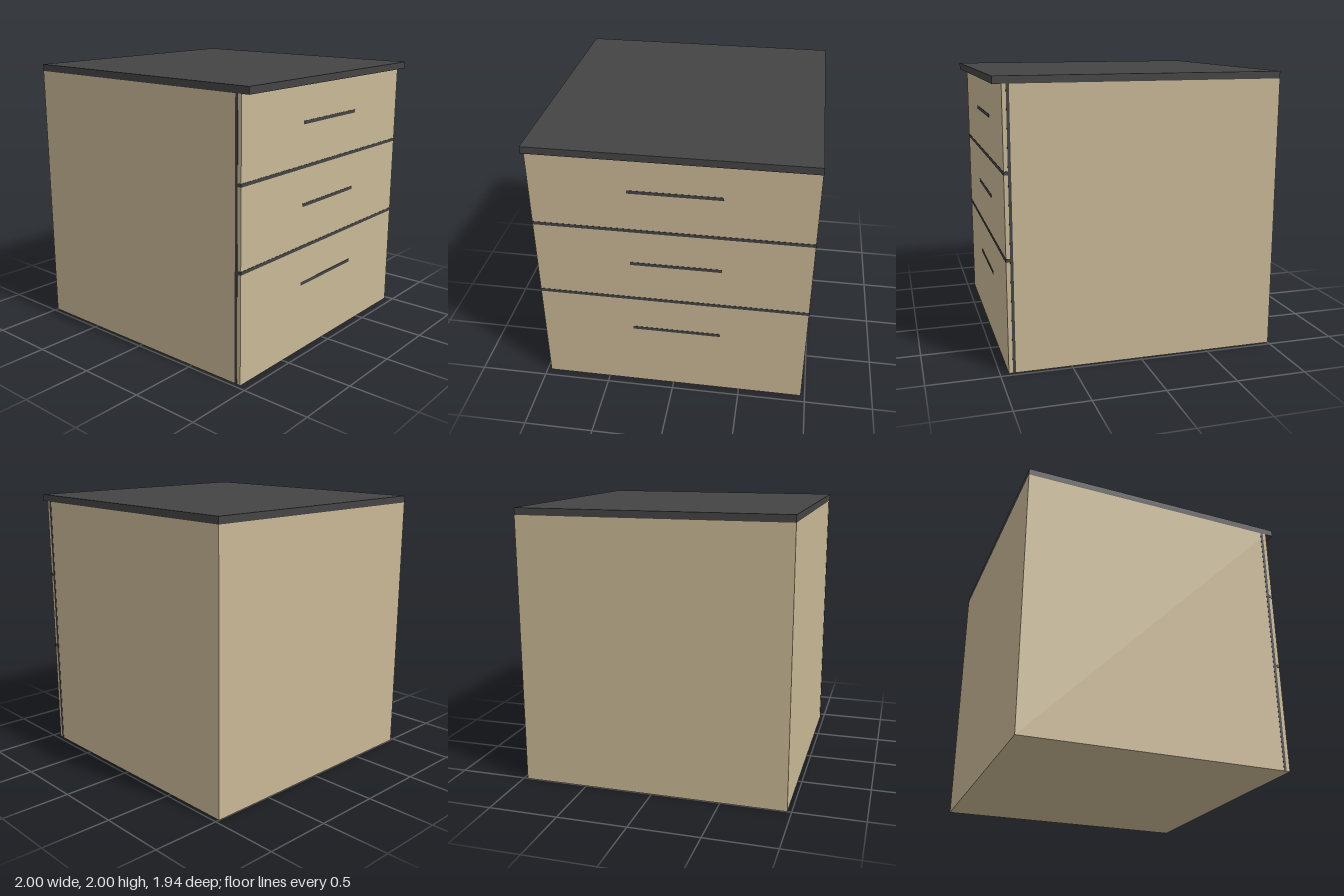
import * as THREE from 'three';

export function createModel() {
  const group = new THREE.Group();
  const wood = new THREE.MeshStandardMaterial({ color: 0xc9b895 });
  wood.name = 'light wood';
  const dark = new THREE.MeshStandardMaterial({ color: 0x444444 });
  dark.name = 'dark grey';

  // Box given by its minimum and maximum corners
  const addBox = (name, material, [x0, y0, z0], [x1, y1, z1]) => {
    const mesh = new THREE.Mesh(new THREE.BoxGeometry(x1 - x0, y1 - y0, z1 - z0), material);
    mesh.position.set((x0 + x1) / 2, (y0 + y1) / 2, (z0 + z1) / 2);
    mesh.name = name;
    group.add(mesh);
  };

  const depth = 0.97, face = 0.94, proud = 0.002;

  // Cabinet and worktop overhanging the drawer side
  addBox('cabinetBody', wood, [-1, 0, -depth], [face, 1.95, depth]);
  addBox('worktop', dark, [-1, 1.95, -depth], [1, 2, depth]);

  // Joint between carcass and drawer fronts, on the front and back panels
  for (const side of [-1, 1]) {
    const z = side * depth;
    addBox('drawerFrontJoint', dark,
      [0.892, 0.004, Math.min(z, z + side * proud)], [0.912, 1.95, Math.max(z, z + side * proud)]);
  }

  // Gaps between the three drawers, wrapping round both corners
  for (const y of [0.795, 1.378]) {
    addBox('drawerGap', dark, [0.9, y - 0.012, -depth - proud], [face + proud, y + 0.012, depth + proud]);
  }

  // Slim grip slots
  for (const y of [0.518, 1.102, 1.685]) {
    addBox('gripSlot', dark, [face, y - 0.012, -0.35], [face + proud, y + 0.012, 0.295]);
  }

  return group;
}
